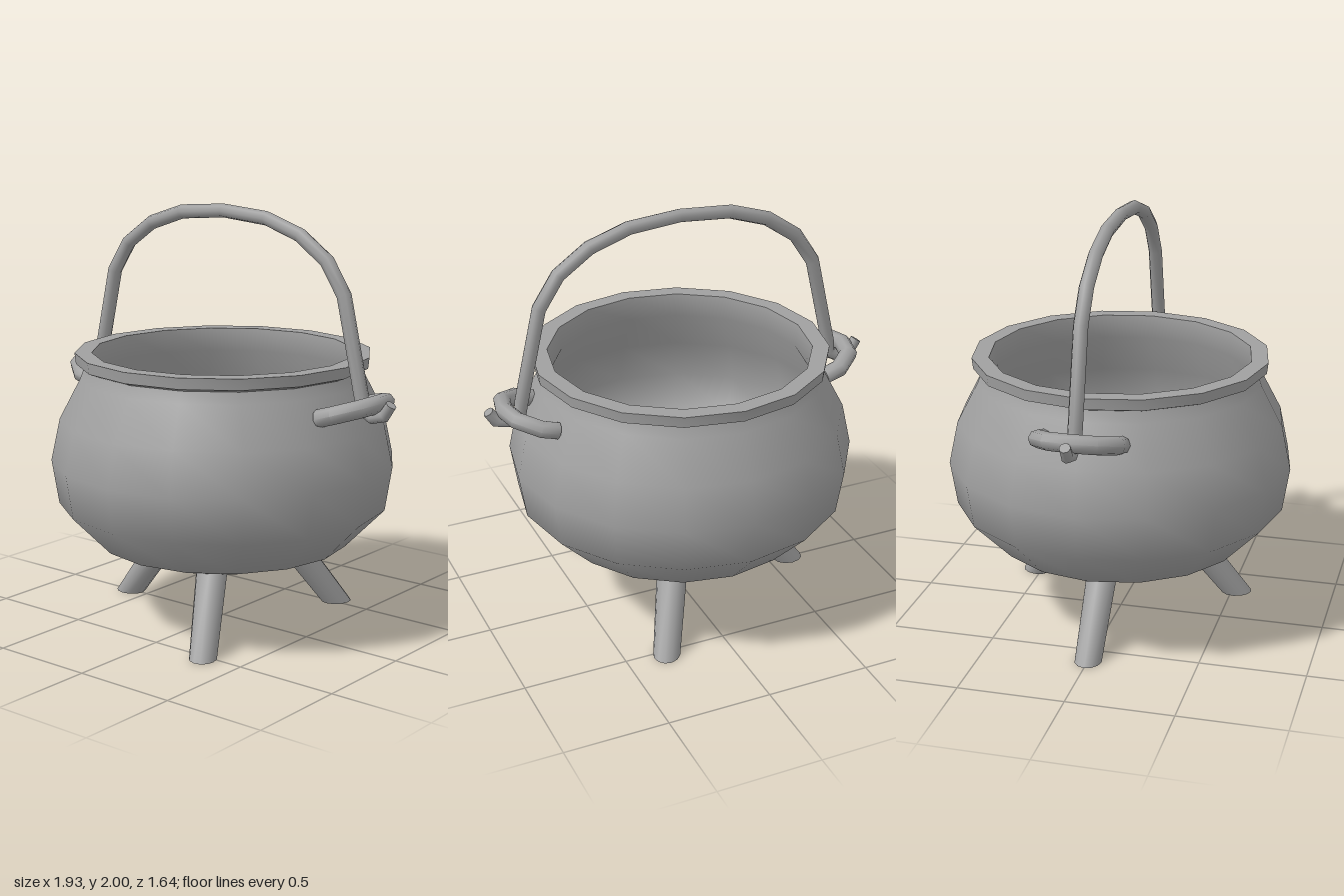
import * as THREE from 'three';
import { toCreasedNormals } from 'three/addons/utils/BufferGeometryUtils.js';

const SIDES = 16;

const lathe = (profile) =>
  new THREE.LatheGeometry(profile.map(([r, y]) => new THREE.Vector2(r, y)), SIDES);

// Round bar swept along points lying in one plane (plane normal b), mitred at each bend
function sweepBar(points, radii, b, sides = 8) {
  const pos = [], index = [], last = points.length - 1;
  const dir = (i) => points[i + 1].clone().sub(points[i]).normalize();
  points.forEach((p, i) => {
    const before = dir(Math.max(i - 1, 0)), after = dir(Math.min(i, last - 1));
    const tangent = before.clone().add(after).normalize();
    const n = new THREE.Vector3().crossVectors(b, tangent).divideScalar(tangent.dot(after));
    for (let j = 0; j < sides; j++) {
      const a = (j / sides) * Math.PI * 2;
      const v = p.clone().addScaledVector(n, radii[i] * Math.cos(a)).addScaledVector(b, radii[i] * Math.sin(a));
      pos.push(v.x, v.y, v.z);
    }
  });
  for (let i = 0; i < last; i++) {
    for (let j = 0; j < sides; j++) {
      const k = (j + 1) % sides;
      const p = i * sides + j, q = i * sides + k, r = p + sides, s = q + sides;
      index.push(p, r, q, q, r, s);
    }
  }
  // End caps
  for (let j = 1; j < sides - 1; j++) {
    const e = last * sides;
    index.push(0, j, j + 1, e, e + j + 1, e + j);
  }
  const geo = new THREE.BufferGeometry();
  geo.setAttribute('position', new THREE.Float32BufferAttribute(pos, 3));
  geo.setIndex(index);
  // The bar walks against b x t, so make sure the faces look outwards
  const [A, B, C] = [0, sides, 1].map((i) => new THREE.Vector3().fromArray(pos, i * 3));
  const normal = B.sub(A).cross(C.sub(A));
  if (normal.dot(A.sub(points[0])) < 0) {
    for (let i = 0; i < index.length; i += 3) [index[i + 1], index[i + 2]] = [index[i + 2], index[i + 1]];
    geo.setIndex(index);
  }
  return toCreasedNormals(geo, Math.PI * 0.3);
}

export function createModel() {
  const model = new THREE.Group();
  model.name = 'cauldron';
  const iron = new THREE.MeshStandardMaterial({ color: 0xa0a0a0 });
  iron.name = 'grey iron';
  iron.side = THREE.DoubleSide;

  const add = (name, geometry) => {
    const mesh = new THREE.Mesh(geometry, iron);
    mesh.name = name;
    model.add(mesh);
    return mesh;
  };

  // Pot: outer wall, sharp-edged rim, inner wall
  add('potOuterWall', lathe([[0, 0.32], [0.36, 0.32], [0.6, 0.4], [0.785, 0.59],
    [0.818, 0.8], [0.775, 1.0], [0.675, 1.19], [0.655, 1.245]]));
  add('rim', toCreasedNormals(lathe([[0.655, 1.245], [0.694, 1.26], [0.7, 1.312], [0.62, 1.312]]), Math.PI / 6));
  add('potInnerWall', lathe([[0.62, 1.312], [0.61, 1.2], [0.71, 1.0], [0.755, 0.8],
    [0.725, 0.62], [0.56, 0.46], [0.34, 0.395], [0, 0.385]]));

  // Three splayed legs, cut level at the ground
  for (let i = 0; i < 3; i++) {
    const geo = new THREE.CylinderGeometry(0.074, 0.064, 0.37, 12);
    geo.translate(0, 0.185, 0);
    const p = geo.attributes.position;
    for (let v = 0; v < p.count; v++) p.setX(v, p.getX(v) * 1.18 + 0.605 - 0.757 * p.getY(v));
    geo.computeVertexNormals();
    add('leg', toCreasedNormals(geo, Math.PI / 4)).rotation.y = Math.PI + (i * Math.PI * 2) / 3;
  }

  // Tilted loop handles on both sides
  const half = [[0.68, 0.178], [0.755, 0.178], [0.845, 0.105]];
  const loop = [...half, [0.87, 0], ...half.map(([x, z]) => [x, -z]).reverse()];
  const slope = 0.31;
  for (const side of [1, -1]) {
    const points = loop.map(([x, z]) => new THREE.Vector3(side * x, 1.11 + slope * (x - 0.685), z));
    const planeNormal = new THREE.Vector3(-side * slope, 1, 0).normalize();
    add(side > 0 ? 'leftLoop' : 'rightLoop', sweepBar(points, points.map(() => 0.041), planeNormal));
  }

  // Arched bail, its ends hooked under the loops
  const arm = [[0.945, 1.175, 0.026], [0.91, 1.122, 0.028], [0.845, 1.105, 0.028], [0.795, 1.135, 0.03],
    [0.785, 1.2, 0.034], [0.685, 1.635, 0.034], [0.59, 1.78, 0.034], [0.44, 1.885, 0.034], [0.25, 1.948, 0.033]];
  const bail = [...arm, [0, 1.968, 0.032], ...arm.map(([x, y, r]) => [-x, y, r]).reverse()];
  add('bailHandle', sweepBar(bail.map(([x, y]) => new THREE.Vector3(x, y, 0)),
    bail.map((p) => p[2]), new THREE.Vector3(0, 0, 1)));

  return model;
}
